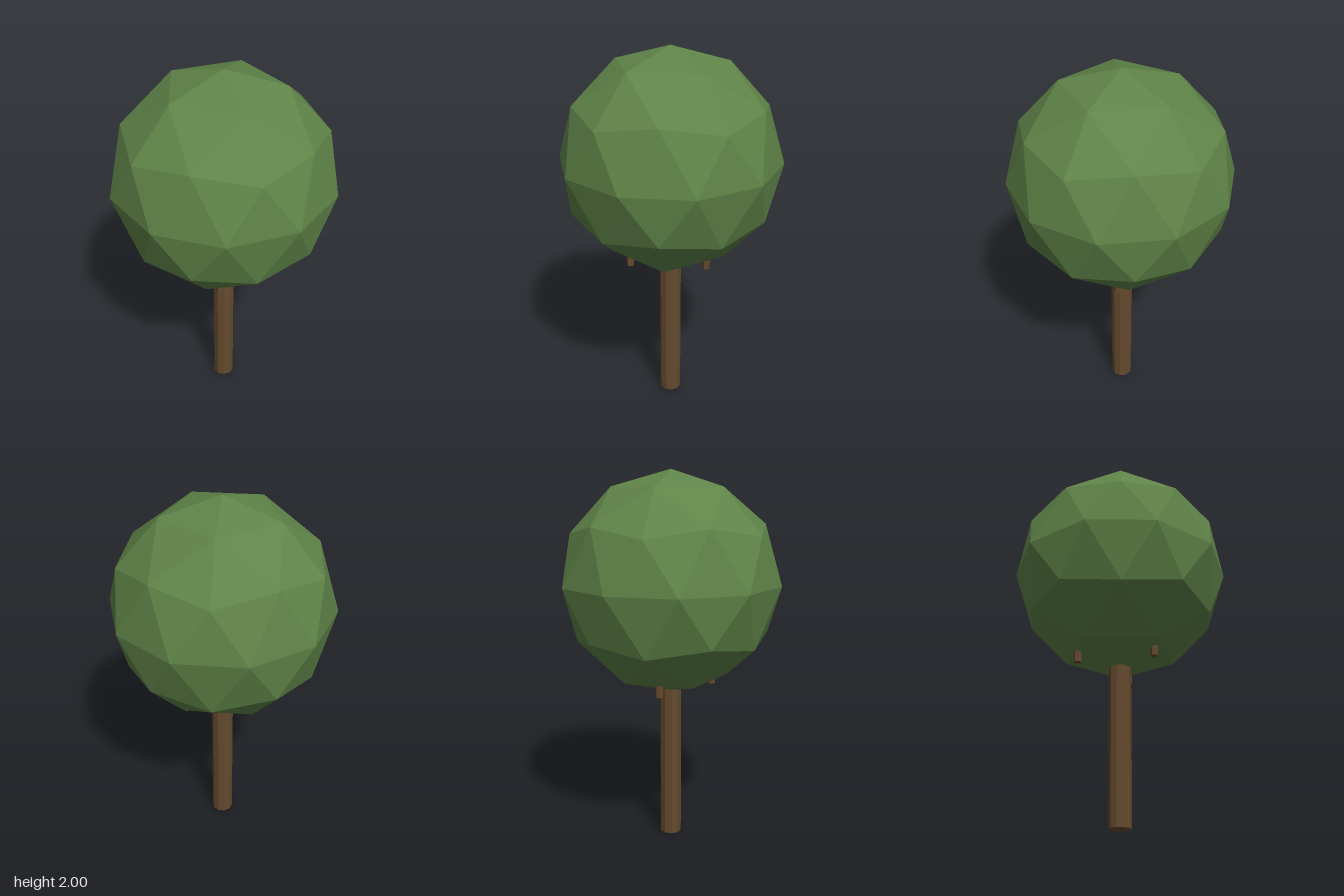
import * as THREE from 'three';

export function createModel() {
  const tree = new THREE.Group();
  tree.name = 'tree';

  const leafGreen = new THREE.MeshStandardMaterial({ name: 'leaf green', color: 0x5f8448, flatShading: true });
  const barkBrown = new THREE.MeshStandardMaterial({ name: 'bark brown', color: 0x654a2e, flatShading: true });

  // Upright faceted post standing between two heights
  function post(name, radius, sides, bottom, top, x, z) {
    const geometry = new THREE.CylinderGeometry(radius, radius, top - bottom, sides);
    const mesh = new THREE.Mesh(geometry, barkBrown);
    mesh.name = name;
    mesh.position.set(x, (bottom + top) / 2, z);
    tree.add(mesh);
  }

  // Crown: faceted ball turned so that one corner points straight up
  const crownRadius = 0.587;
  const crownGeometry = new THREE.IcosahedronGeometry(crownRadius, 1);
  crownGeometry.rotateZ(Math.atan(2 / (1 + Math.sqrt(5))));
  crownGeometry.computeVertexNormals();
  const crown = new THREE.Mesh(crownGeometry, leafGreen);
  crown.name = 'crown';
  crown.position.y = 2 - crownRadius;
  tree.add(crown);

  // Trunk, reaching a little way into the crown
  post('trunk', 0.0587, 10, 0, 0.95, 0, 0);

  // Three twigs poking out under the crown
  for (let i = 0; i < 3; i++) {
    const angle = Math.PI / 3 + (i * 2 * Math.PI) / 3;
    post('twig' + (i + 1), 0.02, 6, 0.85, 1.0, 0.235 * Math.cos(angle), 0.235 * Math.sin(angle));
  }

  return tree;
}
